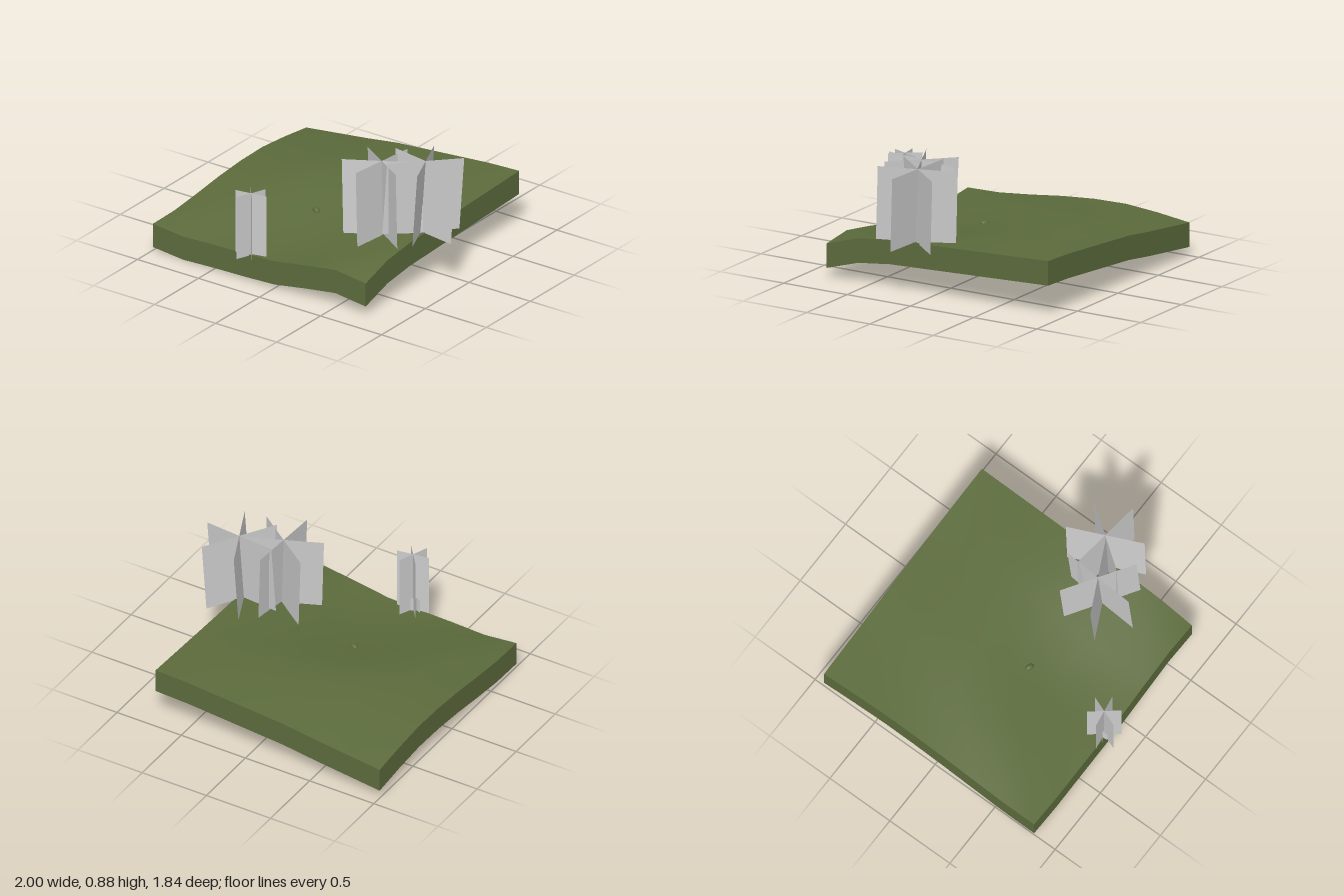
import * as THREE from 'three';

const N = 8, X0 = -1, X1 = 0.745, Z0 = -0.925, Z1 = 0.825, DEPTH = 0.17;

// Ground heights: rows run back to front, columns from -x to +x
const HEIGHTS = [
  [0.23, 0.26, 0.29, 0.325, 0.345, 0.365, 0.385, 0.395],
  [0.26, 0.28, 0.315, 0.34, 0.355, 0.37, 0.38, 0.385],
  [0.28, 0.295, 0.33, 0.35, 0.36, 0.37, 0.375, 0.375],
  [0.275, 0.295, 0.325, 0.335, 0.335, 0.345, 0.355, 0.365],
  [0.255, 0.28, 0.295, 0.285, 0.28, 0.305, 0.34, 0.355],
  [0.225, 0.26, 0.255, 0.235, 0.235, 0.27, 0.315, 0.345],
  [0.2, 0.225, 0.215, 0.2, 0.2, 0.235, 0.29, 0.315],
  [0.195, 0.17, 0.18, 0.185, 0.195, 0.235, 0.27, 0.24],
];

const gridPoint = (i, j) => [
  X0 + (X1 - X0) * i / (N - 1), HEIGHTS[j][i], Z0 + (Z1 - Z0) * j / (N - 1),
];

function indexed(positions, index) {
  const g = new THREE.BufferGeometry();
  g.setAttribute('position', new THREE.Float32BufferAttribute(positions, 3));
  g.setIndex(index);
  g.computeVertexNormals();
  return g;
}

// Rolling ground surface
function groundGeometry() {
  const positions = [], index = [];
  for (let j = 0; j < N; j++) for (let i = 0; i < N; i++) positions.push(...gridPoint(i, j));
  for (let j = 0; j < N - 1; j++) for (let i = 0; i < N - 1; i++) {
    const a = j * N + i, b = a + 1, c = a + N, d = c + 1;
    index.push(a, c, b, b, c, d);
  }
  return indexed(positions, index);
}

// One wall hanging from a ground edge; points run left to right seen from outside
function wallGeometry(at) {
  const positions = [], index = [];
  for (let k = 0; k < N; k++) {
    const [x, y, z] = at(k);
    positions.push(x, y, z, x, y - DEPTH, z);
    if (k < N - 1) {
      const a = 2 * k;
      index.push(a, a + 1, a + 2, a + 2, a + 1, a + 3);
    }
  }
  return indexed(positions, index);
}

// Three crossed upright cards, optionally leaning
function crossedCards(name, material, { x, y, z, width, height, angle, leanX = 0, leanZ = 0 }) {
  const group = new THREE.Group();
  group.name = name;
  for (let k = 0; k < 3; k++) {
    const g = new THREE.PlaneGeometry(width, height);
    g.translate(0, height / 2, 0);
    g.rotateY(-THREE.MathUtils.degToRad(angle + 60 * k));
    const card = new THREE.Mesh(g, material);
    card.name = 'foliageCard';
    group.add(card);
  }
  group.position.set(x, y, z);
  group.quaternion.setFromUnitVectors(
    new THREE.Vector3(0, 1, 0), new THREE.Vector3(leanX, height, leanZ).normalize());
  return group;
}

export function createModel() {
  const model = new THREE.Group();
  model.name = 'grassPatch';
  const grass = new THREE.MeshStandardMaterial({ color: 0x5c6b3c, side: THREE.DoubleSide });
  grass.name = 'grass green';
  const foliage = new THREE.MeshStandardMaterial({ color: 0xcccccc, side: THREE.DoubleSide });
  foliage.name = 'pale grey';

  const add = (name, geometry, material) => {
    const mesh = new THREE.Mesh(geometry, material);
    mesh.name = name;
    model.add(mesh);
    return mesh;
  };

  // Ground with an open skirt
  const last = N - 1;
  add('ground', groundGeometry(), grass);
  add('frontWall', wallGeometry(k => gridPoint(k, last)), grass);
  add('leftWall', wallGeometry(k => gridPoint(last, last - k)), grass);
  add('backWall', wallGeometry(k => gridPoint(last - k, 0)), grass);
  add('rightWall', wallGeometry(k => gridPoint(0, k)), grass);

  // Small pebble in the middle
  const pebble = add('pebble', new THREE.SphereGeometry(1, 10, 8), grass);
  pebble.scale.set(0.034, 0.02, 0.021);
  pebble.rotation.y = -0.4;
  pebble.position.set(-0.15, 0.268, 0.145);

  // Two large leaning bushes, a slim one and its sprout
  model.add(
    crossedCards('frontBush', foliage, {
      x: 0.49, y: 0.315, z: 0.27, width: 0.54, height: 0.53, angle: 34, leanX: -0.025, leanZ: -0.017 }),
    crossedCards('backBush', foliage, {
      x: 0.707, y: 0.35, z: 0.143, width: 0.54, height: 0.515, angle: 6.5, leanX: 0.02, leanZ: -0.027 }),
    crossedCards('slimBush', foliage, {
      x: -0.205, y: 0.18, z: 0.81, width: 0.23, height: 0.455, angle: 51 }),
    crossedCards('sprout', foliage, {
      x: -0.23, y: 0.18, z: 0.81, width: 0.08, height: 0.105, angle: 20 }),
  );
  return model;
}
